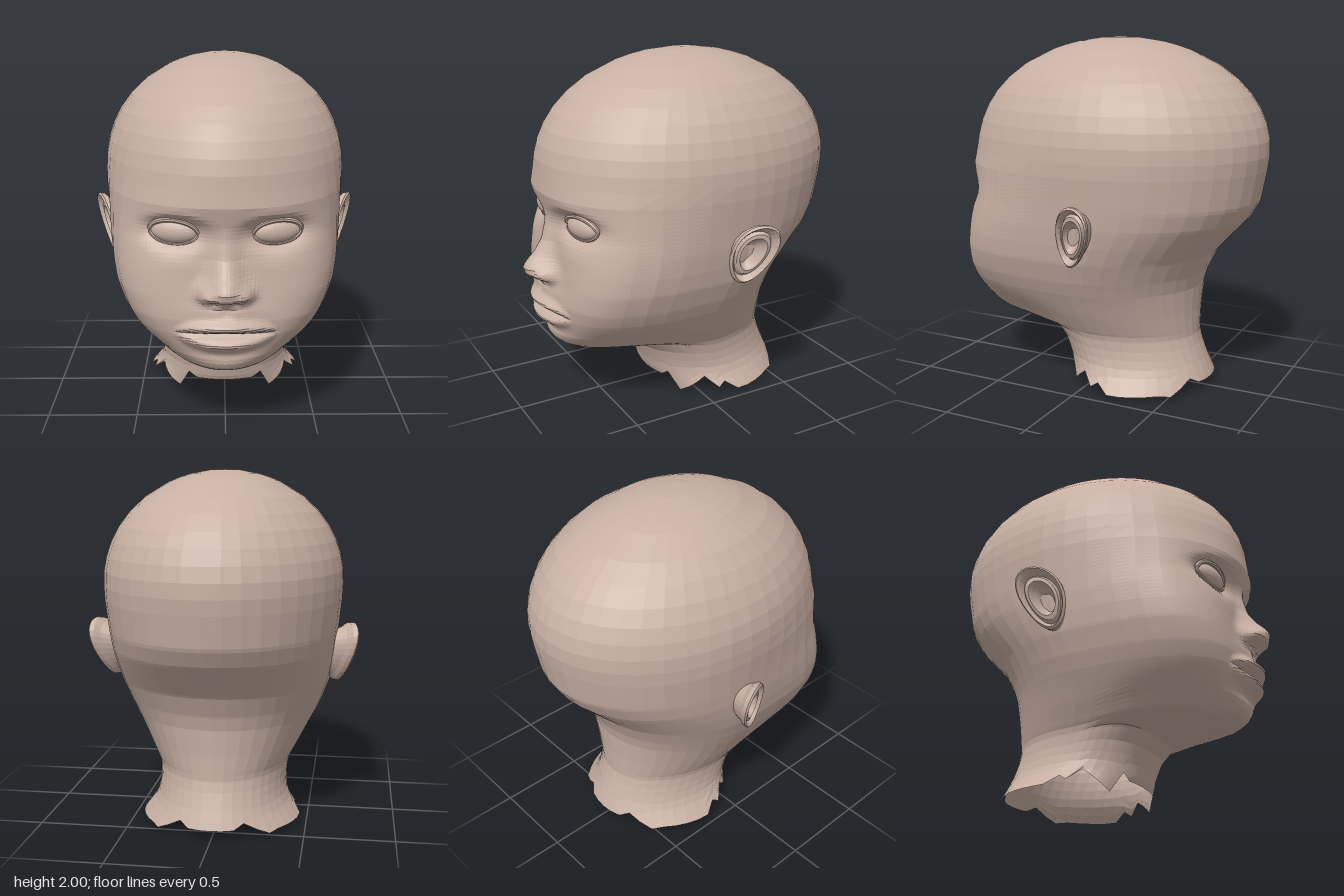
import * as THREE from 'three';

const skin = new THREE.MeshStandardMaterial({ color: 0xc8b0a3, flatShading: true, side: THREE.DoubleSide });
skin.name = 'skin';

// Sections of neck and face: height, half width, front z, back z
const SECTIONS = [
  [0, .48, .15, -.67], [.1, .4, .2, -.63], [.17, .372, .22, -.6], [.265, .372, .26, -.565],
  [.31, .38, .32, -.555], [.34, .39, .55, -.555], [.355, .4, .69, -.555], [.39, .42, .75, -.555],
  [.45, .455, .785, -.555], [.6, .535, .805, -.565], [.68, .572, .808, -.587], [.8, .615, .795, -.645],
  [.9, .635, .785, -.735], [1, .65, .778, -.83], [1.1, .66, .785, -.89], [1.285, .68, .828, -.925],
  [1.38, .683, .815, -.937],
];
const DOME = 1.38; // the skull closes as a dome above this height
// Nose: height, projection, half width
const NOSE = [[.755, 0, .1], [.785, .045, .105], [.815, .125, .11], [.86, .148, .1], [.895, .125, .09],
  [.93, .09, .08], [1.01, .04, .065], [1.1, .015, .06], [1.17, 0, .06]];
// Torn lower edge of the neck: angle from the front, height
const EDGE = [[0, .07], [.4, .075], [.57, .11], [.6, 0], [1.28, .12], [1.32, .04], [1.6, .09], [1.65, .02],
  [2.3, .03], [2.5, .01], [2.6, .11], [2.85, .06], [3.15, .06]];

// Linear lookup in a table sorted by its first column
function lookup(table, t) {
  let i = 0;
  while (i < table.length - 2 && table[i + 1][0] < t) i++;
  const a = table[i], b = table[i + 1];
  const k = THREE.MathUtils.clamp((t - a[0]) / (b[0] - a[0]), 0, 1);
  return a.map((v, j) => v + (b[j] - v) * k);
}
const bump = (d, w) => Math.exp(-((d / w) ** 2));

// Half width, front z, back z, widest z and squareness of the front at a height
function section(y) {
  const [, width, front, back] = lookup(SECTIONS, y);
  const mid = -.06 + .11 * bump(y - .6, .3) - .1 * bump(y, .25);
  const square = 1.95 + 1.6 * bump(y - .8, .36);
  const t = THREE.MathUtils.clamp((y - DOME) / (2 - DOME), 0, 1);
  const k = Math.sqrt(1 - t ** 2);
  return [width * k, mid + (front - mid) * k, mid + (back - mid) * k, mid, square];
}

// Relief of the face added to the front of the head
function relief(x, y) {
  const ax = Math.abs(x);
  let z = 0;
  if (y > .755 && y < 1.17) {
    const [, out, width] = lookup(NOSE, y);
    z += out * Math.exp(-((ax / width) ** 2.4));
  }
  z += .045 * bump(ax - .105, .04) * bump(y - .83, .04);          // nostril wings
  z -= .015 * bump(ax - .055, .025) * bump(y - .79, .016);         // nostrils
  z -= .11 * bump(ax - .265, .15) * bump(y - 1.133, .08);          // eye sockets
  z += .014 * bump(ax - .26, .15) * bump(y - 1.235 + (ax - .26) ** 2, .03); // brows
  z += .02 * bump(x, .14) * bump(y - .42, .045);                   // chin
  z += .04 * bump(x, .15) * bump(y - .73, .065);                   // upper lip base
  z -= .01 * bump(x, .03) * bump(y - .73, .03);                    // philtrum
  const t = 1 - (x / .27) ** 2;
  if (t > 0) {                                                      // lips
    const h = Math.sqrt(t), out = .015 + .055 * t;
    z += out * h * bump(y - .612 - .042 * h, .012 + .022 * h);
    z += out * h * bump(y - .612 + .055 * h, .012 + .032 * h);
    z -= .025 * h * bump(y - .61, .011);
  }
  return z;
}

// Evenly spaced values, without the end value
function range(from, to, count) {
  return Array.from({ length: count }, (_, i) => from + (to - from) * i / count);
}

function headGeometry() {
  const rows = [...range(0, .3, 6), ...range(.3, .36, 6), ...range(.36, .48, 5), ...range(.48, .72, 20),
    ...range(.72, .9, 12), ...range(.9, 1.28, 18), ...range(1.28, 1.93, 8), 1.93, 1.955, 1.975, 1.995, 2];
  const half = [...range(0, .9, 30), ...range(.9, Math.PI, 15)];
  const angles = [...half, Math.PI, ...half.slice(1).reverse().map((a) => -a)];
  const cols = angles.length, positions = [], index = [];
  rows.forEach((rowY, r) => {
    angles.forEach((a, c) => {
      const low = lookup(EDGE, Math.abs(a))[1];
      const y = rowY < .17 ? low + rowY / .17 * (.17 - low) : rowY;
      const [width, front, back, mid, square] = section(y);
      const s = Math.sin(a), k = Math.cos(a), n = k > 0 ? square : 2;
      const q = (Math.abs(s) ** n + Math.abs(k) ** n) ** (1 / n);
      const x = width * s / q;
      let z = mid + (k > 0 ? front - mid : mid - back) * k / q;
      if (k > .3 && y > .36 && y < 1.4) z += relief(x, y);
      // the jaw line rises from the chin towards the sides
      const lift = .65 * x * x * Math.max(k, 0) * bump(y - .36, .13);
      positions.push(x, y + lift, z);
      if (r < rows.length - 1) {
        const p = r * cols + c, e = r * cols + (c + 1) % cols;
        index.push(p, e, e + cols, p, e + cols, p + cols);
      }
    });
  });
  const g = new THREE.BufferGeometry();
  g.setAttribute('position', new THREE.Float32BufferAttribute(positions, 3));
  g.setIndex(index);
  g.computeVertexNormals();
  return g;
}

// Ear: a turned bowl with folds, bent into an ear outline that flares backwards
function earGeometry() {
  const profile = [[0, -.045], [.25, -.045], [.42, -.02], [.55, .012], [.68, .008], [.76, -.012], [.85, .012],
    [.93, .026], [1, .015], [.98, -.01], [.85, -.035], [.7, -.1]].map((p) => new THREE.Vector2(...p));
  const g = new THREE.LatheGeometry(profile, 28);
  const p = g.attributes.position;
  for (let i = 0; i < p.count; i++) {
    const u = p.getX(i), v = p.getZ(i), h = p.getY(i);
    const y = .972 + .175 * v;
    const z = -.11 - .115 * u * (1 + .25 * v) - .035 * v;
    p.setXYZ(i, .64 + h - .4 * z + .19 * (y - .97), y, z);
  }
  g.computeVertexNormals();
  return g;
}

// Eyeball with upper and lower lid rims
function makeEye(side) {
  const eye = new THREE.Group();
  eye.name = side > 0 ? 'leftEye' : 'rightEye';
  const ball = new THREE.Mesh(new THREE.SphereGeometry(1, 24, 16), skin);
  ball.name = 'eyeball';
  ball.scale.set(.128, .066, .055);
  eye.add(ball);
  const lid = (name, height, lift, radius) => {
    const points = [...range(0, Math.PI, 12), Math.PI].map((a) =>
      new THREE.Vector3(-.13 * Math.cos(a), height * Math.sin(a), .005 + lift * Math.sin(a)));
    const mesh = new THREE.Mesh(new THREE.TubeGeometry(new THREE.CatmullRomCurve3(points), 24, radius, 8), skin);
    mesh.name = name;
    eye.add(mesh);
  };
  lid('upperLid', .066, .03, .014);
  lid('lowerLid', -.062, .016, .01);
  eye.position.set(.265 * side, 1.133, .685);
  eye.rotation.set(0, .24 * side, .04 * side);
  return eye;
}

export function createModel() {
  const model = new THREE.Group();
  model.name = 'head';
  const head = new THREE.Mesh(headGeometry(), skin);
  head.name = 'headAndNeck';
  model.add(head);
  const earShape = earGeometry();
  for (const side of [1, -1]) {
    const ear = new THREE.Mesh(earShape, skin);
    ear.name = side > 0 ? 'leftEar' : 'rightEar';
    ear.scale.x = side;
    model.add(ear, makeEye(side));
  }
  return model;
}
